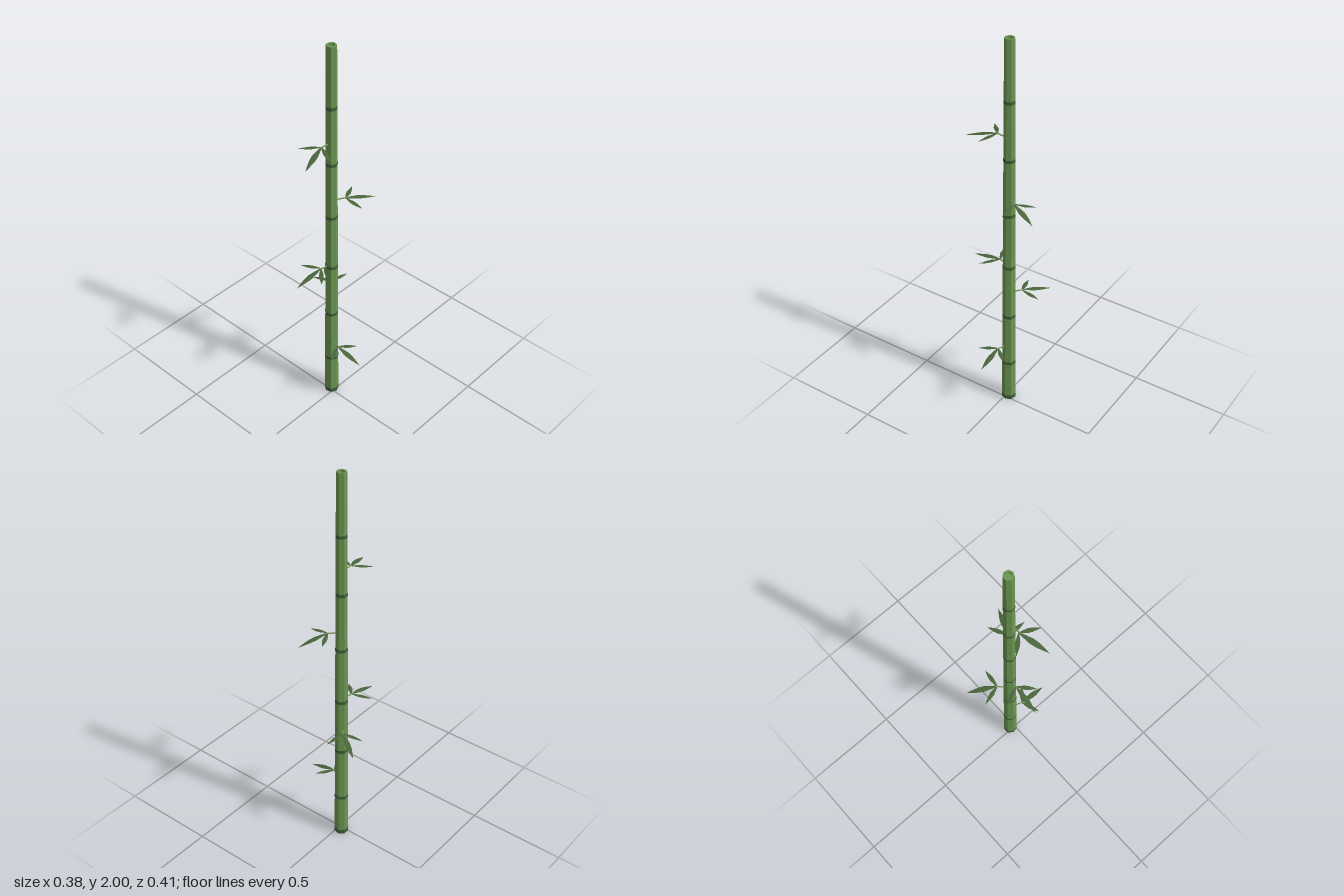
import * as THREE from 'three';

const SIDES = 7;
const CX = -0.0205, CZ = -0.0135;
const mat = (color, extra = {}) => new THREE.MeshStandardMaterial({ color, flatShading: true, ...extra });
const stalkMat = mat(0x6b9650);
const ringMat = mat(0x3f5f38);
const twigMat = mat(0x7a9a5a);
const leafMat = mat(0x4a663c, { side: THREE.DoubleSide });

// stalk radius at height y
const radiusAt = (y) => 0.0355 - 0.0055 * y;

function add(parent, name, geometry, material) {
  const mesh = new THREE.Mesh(geometry, material);
  mesh.name = name;
  parent.add(mesh);
  return mesh;
}

// seven-sided turned part with a corner towards +x
function turned(profile) {
  const geo = new THREE.LatheGeometry(profile.map(([r, y]) => new THREE.Vector2(r, y)), SIDES);
  return geo.rotateY(Math.PI / 2).translate(CX, 0, CZ);
}

// pointed, drooping blade with a slightly raised midrib
function leafGeometry(base, tip, width) {
  const side = new THREE.Vector3(tip.z - base.z, 0, base.x - tip.x).normalize();
  const droop = base.y - tip.y;
  const rows = [[0, 0.2], [0.2, 0.62], [0.42, 1], [0.6, 0.9], [0.8, 0.5], [1, 0]];
  const pos = [], index = [];
  rows.forEach(([t, w], i) => {
    const p = base.clone().lerp(tip, t);
    p.y += droop * 0.5 * t * (1 - t);
    for (const s of [-1, 0, 1]) {
      const half = s * w * width / 2;
      pos.push(p.x + side.x * half, p.y - Math.abs(half) * 0.15, p.z + side.z * half);
    }
    if (i === 0) return;
    for (const k of [0, 1]) {
      const a = (i - 1) * 3 + k, b = a + 3;
      index.push(a, a + 1, b);
      if (i < rows.length - 1 || k === 0) index.push(a + 1, b + 1, b);
      else index.push(a + 1, b + 1, b);
    }
  });
  const geo = new THREE.BufferGeometry();
  geo.setAttribute('position', new THREE.Float32BufferAttribute(pos, 3));
  geo.setIndex(index);
  geo.computeVertexNormals();
  return geo;
}

// sprigs: height, twig end [x, z], middle tip, two side tips
const SPRIGS = [
  { y: 0.345, end: [0.043, 0.01], tip: [0.19, 0.01], sides: [[0.107, -0.066], [0.081, 0.102]] },
  { y: 0.67, end: [-0.064, -0.059], tip: [-0.195, -0.144], sides: [[-0.052, -0.163], [-0.166, -0.031]] },
  { y: 0.83, end: [-0.033, 0.046], tip: [-0.043, 0.202], sides: [[-0.131, 0.088], [0.04, 0.12]] },
  { y: 1.21, end: [0.02, -0.065], tip: [0.08, -0.203], sides: [[-0.026, -0.16], [0.121, -0.067]] },
  { y: 1.523, end: [-0.022, 0.05], tip: [0.022, 0.198], sides: [[-0.099, 0.12], [0.07, 0.093]] },
];

export function createModel() {
  const model = new THREE.Group();
  model.name = 'bambooStalk';

  // stalk sections between the joints, the last one with a shallow hollow end
  const joints = [0.015, 0.235, 0.528, 0.822, 1.115, 1.408, 1.7];
  joints.forEach((y0, i) => {
    const last = i === joints.length - 1;
    const y1 = last ? 2 : joints[i + 1];
    const profile = [[radiusAt(y0), y0], [radiusAt(y1), y1]];
    if (last) profile.push([0.016, 2], [0.015, 1.988], [0, 1.988]);
    add(model, 'stalkSection', turned(profile), stalkMat);
  });

  // dark joint rings
  joints.forEach((y, i) => {
    const r = radiusAt(y) + 0.0008, h = 0.008;
    const low = i === 0 ? 0 : y - h;
    add(model, 'jointRing', turned([[0, low], [r, low], [r, y + h], [0, y + h]]), ringMat);
  });

  // sprigs of three leaves on a short twig
  for (const { y, end, tip, sides } of SPRIGS) {
    const sprig = new THREE.Group();
    sprig.name = 'leafSprig';
    model.add(sprig);

    const start = new THREE.Vector3(CX, y - 0.005, CZ);
    const base = new THREE.Vector3(end[0], y, end[1]);
    const twigEnd = base.clone().lerp(new THREE.Vector3(tip[0], y, tip[1]), 0.06);
    add(sprig, 'twig', new THREE.TubeGeometry(new THREE.LineCurve3(start, twigEnd), 1, 0.0035, 5), twigMat);

    add(sprig, 'middleLeaf', leafGeometry(base, new THREE.Vector3(tip[0], y - 0.035, tip[1]), 0.029), leafMat);
    sides.forEach(([x, z], k) =>
      add(sprig, 'sideLeaf', leafGeometry(base, new THREE.Vector3(x, y - (k ? 0.014 : 0.008), z), 0.022), leafMat));
  }
  return model;
}
